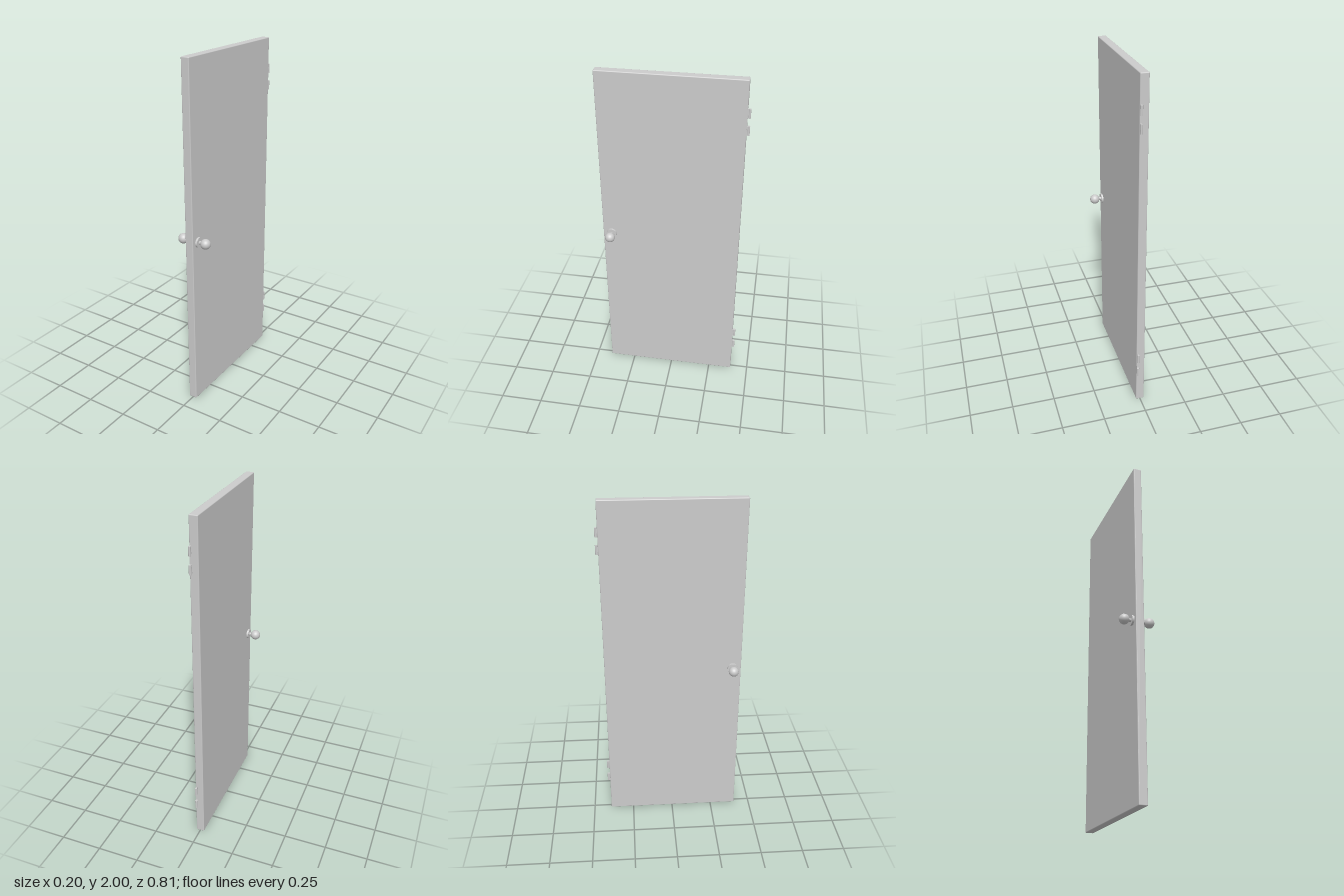
import * as THREE from 'three';
import { RoundedBoxGeometry } from 'three/addons/geometries/RoundedBoxGeometry.js';

const material = new THREE.MeshStandardMaterial({ color: 0xcccccc });

function addMesh(parent, name, geometry, x, y, z) {
  const mesh = new THREE.Mesh(geometry, material);
  mesh.name = name;
  mesh.position.set(x, y, z);
  parent.add(mesh);
  return mesh;
}

// Round rose, neck and ball; built along +y, then laid along x
function makeKnob(name, side) {
  const knob = new THREE.Group();
  knob.name = name;
  const rose = new THREE.CylinderGeometry(0.028, 0.029, 0.012, 32);
  addMesh(knob, 'rose', rose, 0, 0.029, 0);
  addMesh(knob, 'neck', new THREE.CylinderGeometry(0.01, 0.01, 0.03, 24), 0, 0.042, 0);
  addMesh(knob, 'ball', new THREE.SphereGeometry(0.029, 32, 20), 0, 0.073, 0);
  knob.rotation.z = -side * Math.PI / 2;
  knob.position.set(-0.0005, 1.003, 0.355);
  return knob;
}

// Leaf on the door edge with two knuckles and an open gap between them
function makeHinge(name, y) {
  const hinge = new THREE.Group();
  hinge.name = name;
  addMesh(hinge, 'leaf', new THREE.BoxGeometry(0.012, 0.148, 0.003), 0.016, 0, -0.391);
  for (const s of [-1, 1]) {
    const barrel = new THREE.CylinderGeometry(0.0065, 0.0065, 0.052, 16);
    addMesh(hinge, 'knuckle', barrel, 0.017, s * 0.048, -0.4025);
    addMesh(hinge, 'knuckleWeb', new THREE.BoxGeometry(0.008, 0.052, 0.012), 0.017, s * 0.048, -0.396);
  }
  hinge.position.y = y;
  return hinge;
}

export function createModel() {
  const door = new THREE.Group();
  door.name = 'door';

  // Plain slab with softened edges
  addMesh(door, 'slab', new RoundedBoxGeometry(0.048, 2, 0.797, 2, 0.005), -0.0005, 1, 0.0065);

  // One knob on each face
  door.add(makeKnob('leftKnob', 1), makeKnob('rightKnob', -1));

  // Hinges on the rear edge
  door.add(makeHinge('upperHinge', 1.772), makeHinge('lowerHinge', 0.265));

  return door;
}
